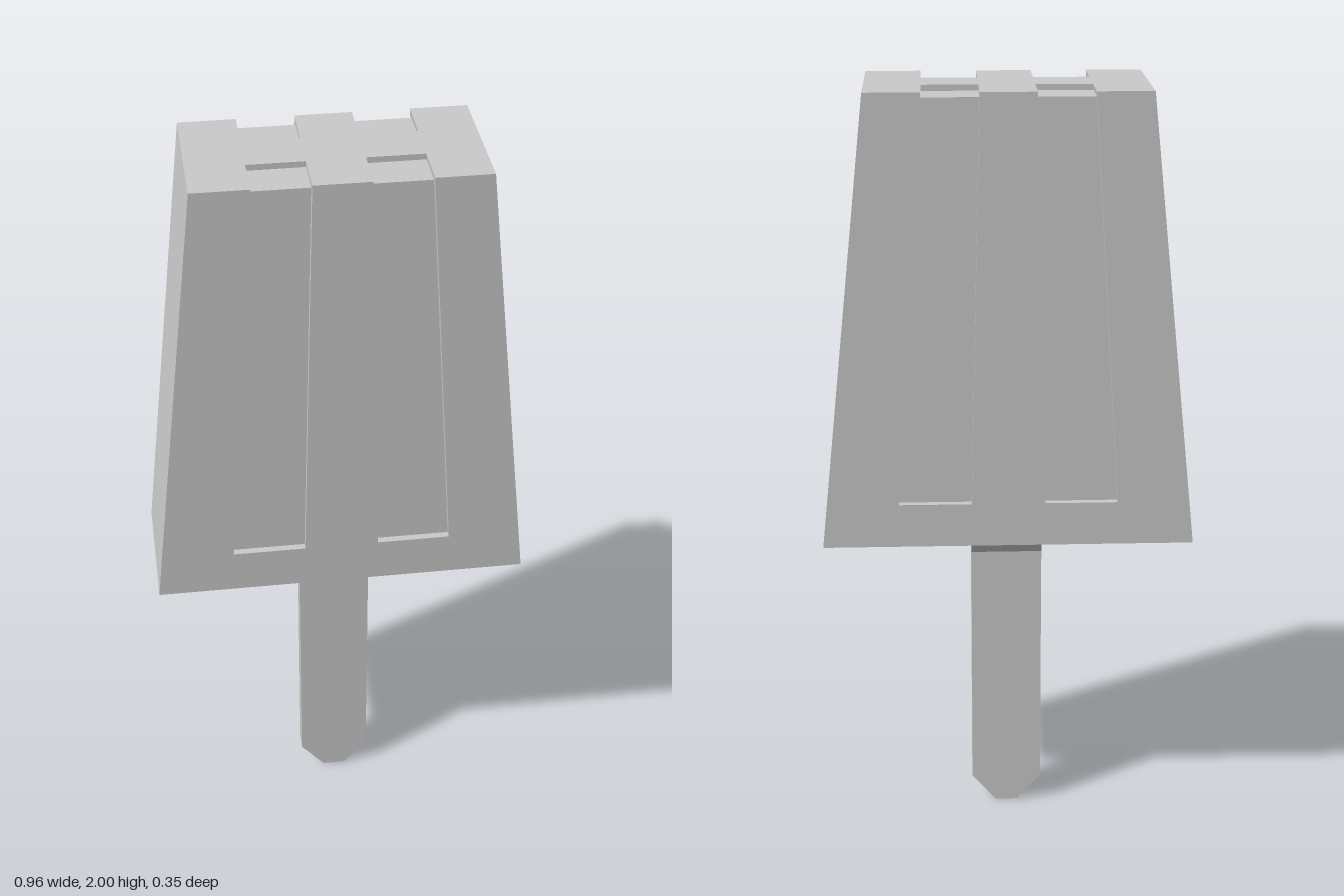
import * as THREE from 'three';

const BOTTOM = 0.83, TOP = 2, GROOVE_END = 0.945, LEDGE = 1.985;
const material = new THREE.MeshStandardMaterial({ color: 0xcccccc, flatShading: true });

// Flat outline extruded along z from z0 to z1
function slab(name, points, z0, z1) {
  const shape = new THREE.Shape(points.map(([x, y]) => new THREE.Vector2(x, y)));
  const geometry = new THREE.ExtrudeGeometry(shape, { depth: z1 - z0, bevelEnabled: false });
  geometry.translate(0, 0, z0);
  const mesh = new THREE.Mesh(geometry, material);
  mesh.name = name;
  return mesh;
}

// Tapered outline with two slots cut down from the top edge to height y
function bodyOutline(y) {
  const t = (TOP - y) / (TOP - GROOVE_END);
  const inner = 0.07 + 0.025 * t, outer = 0.212 + 0.07 * t;
  const half = [[0.07, TOP], [inner, y], [outer, y], [0.212, TOP], [0.353, TOP], [0.48, BOTTOM]];
  const left = half.map(([x, h]) => [-x, h]).reverse();
  return [...left, ...half];
}

export function createModel() {
  const model = new THREE.Group();
  model.name = 'icePop';

  // Ice body: solid core, then notched and grooved layers on both faces
  const body = new THREE.Group();
  body.name = 'iceBody';
  body.add(slab('core', [[-0.48, BOTTOM], [0.48, BOTTOM], [0.353, TOP], [-0.353, TOP]], -0.058, 0.058));
  for (const [side, s] of [['front', 1], ['back', -1]]) {
    const layer = (name, y, a, b) =>
      body.add(slab(side + name, bodyOutline(y), Math.min(s * a, s * b), Math.max(s * a, s * b)));
    layer('NotchedLayer', LEDGE, 0.058, 0.158);
    layer('GroovedLayer', GROOVE_END, 0.158, 0.177);
  }
  model.add(body);

  // Flat stick with a chamfered tip
  const w = 0.094;
  model.add(slab('stick', [[-0.03, 0], [0.03, 0], [w, 0.075], [w, 0.75], [-w, 0.75], [-w, 0.075]], -0.025, 0.025));

  // Flared neck where the stick meets the body
  const neck = slab('stickNeck', [[-0.025, 0.75], [0.025, 0.75], [0.06, BOTTOM], [-0.06, BOTTOM]], -w, w);
  neck.rotation.y = Math.PI / 2;
  model.add(neck);

  return model;
}
